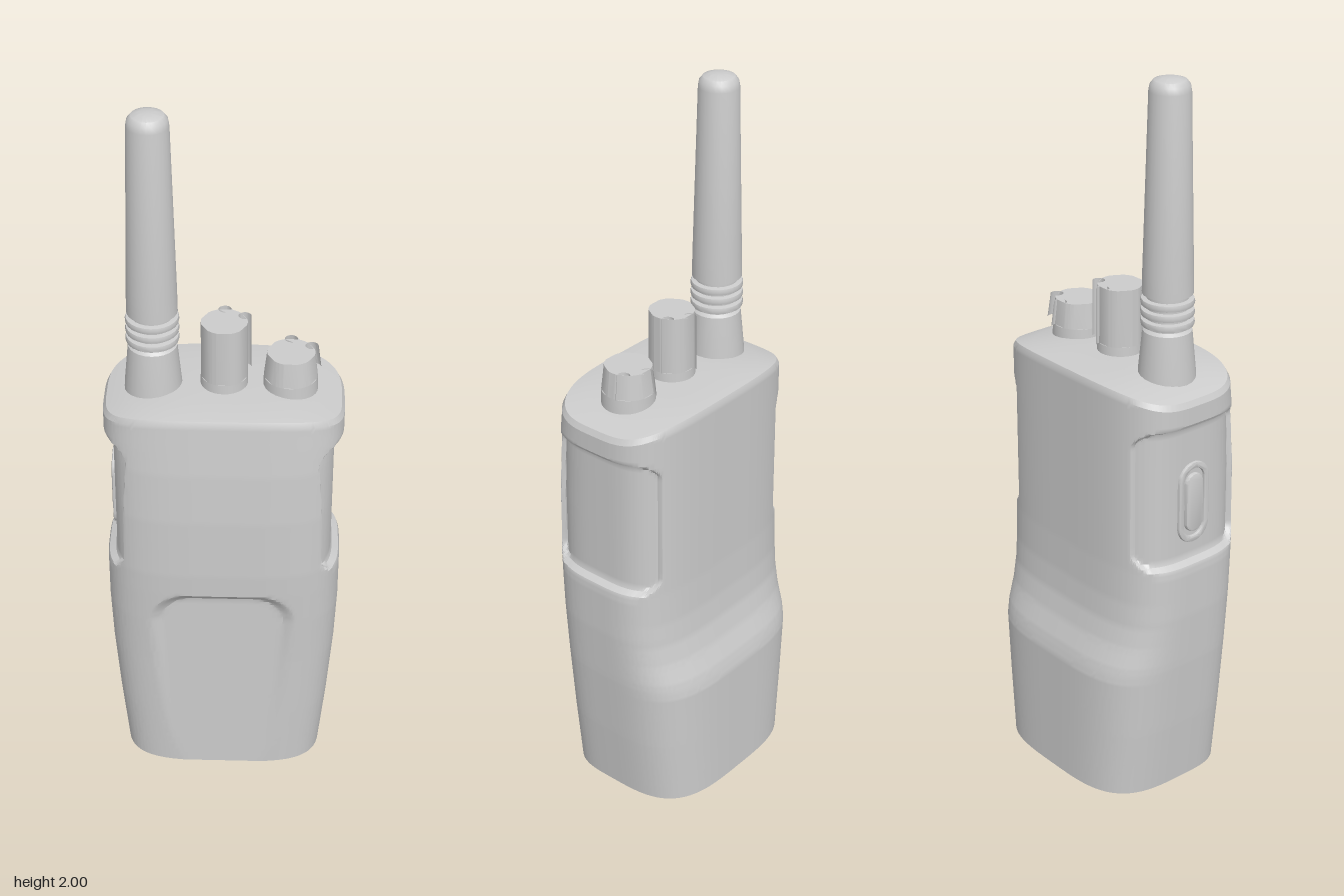
import * as THREE from 'three';
import { toCreasedNormals } from 'three/addons/utils/BufferGeometryUtils.js';

const material = new THREE.MeshStandardMaterial({ color: 0xcccccc });
const ZC = 0.02; // depth of the line through antenna and knobs
const { smoothstep, clamp } = THREE.MathUtils;

function add(parent, name, geometry, x = 0, y = 0, z = 0) {
  const mesh = new THREE.Mesh(geometry, material);
  mesh.name = name;
  mesh.position.set(x, y, z);
  parent.add(mesh);
  return mesh;
}

// Piecewise linear lookup in [y, value] pairs
function lookup(pairs, y) {
  for (let i = 1; i < pairs.length; i++) {
    const [y0, v0] = pairs[i - 1], [y1, v1] = pairs[i];
    if (y <= y1) return v0 + (v1 - v0) * clamp((y - y0) / (y1 - y0), 0, 1);
  }
  return pairs[pairs.length - 1][1];
}

// Signed distance to a rounded rectangle, negative inside
function roundedRect(u, v, halfU, halfV, r) {
  const a = Math.abs(u) - halfU + r, b = Math.abs(v) - halfV + r;
  return Math.hypot(Math.max(a, 0), Math.max(b, 0)) + Math.min(Math.max(a, b), 0) - r;
}

const halfWidth = [[0, 0.28], [0.2, 0.299], [0.4, 0.314], [0.55, 0.32], [1.22, 0.32]];
const frontZ = [[0, 0.2], [0.4, 0.214], [0.65, 0.228], [0.72, 0.231], [0.9, 0.23], [1.05, 0.222], [1.22, 0.204]];
const backZ = [[0, -0.231], [0.37, -0.231], [0.41, -0.222], [0.47, -0.198], [0.53, -0.183],
  [0.6, -0.176], [0.7, -0.173], [1.22, -0.173]];

// Point on the shell: rounded section, side recesses, front panel, domed top
function shellPoint(y, scale, angle) {
  const c = Math.cos(angle), s = Math.sin(angle), p = 2 / 3.5;
  const depth = s > 0 ? lookup(frontZ, y) - ZC : ZC - lookup(backZ, y);
  let x = Math.sign(c) * Math.abs(c) ** p * lookup(halfWidth, y) * scale;
  let z = ZC + Math.sign(s) * Math.abs(s) ** p * depth * scale;
  if (scale === 1) {
    if (Math.abs(x) > 0.15) {
      const d = roundedRect(z - ZC, y - 0.905, 0.17, 0.207, 0.05);
      x -= Math.sign(x) * 0.025 * clamp(-d / 0.014, 0, 1);
    }
    if (z > 0.1) {
      const w = 0.165 + 0.035 * Math.min(1, y / 0.55);
      const d = roundedRect(x, y, w, 0.65, 0.11);
      z -= Math.max(0, z - 0.198) * clamp(-d / 0.032, 0, 1);
    }
  }
  return [x, y - 0.035 * (x / 0.32) ** 4 * smoothstep(y, 1.1, 1.2), z];
}

function bodyGeometry() {
  const n = 192, rings = [[0, 0]];
  for (let i = 0; i <= 120; i++) rings.push([i * 0.01, 1]);
  rings.push([1.213, 0.975], [1.217, 0.8], [1.219, 0.5], [1.22, 0.25], [1.22, 0]);
  const pos = [], index = [];
  rings.forEach(([y, scale], i) => {
    for (let j = 0; j < n; j++) {
      pos.push(...shellPoint(y, scale, (j / n) * Math.PI * 2));
      if (i === 0) continue;
      const k = (j + 1) % n, a = (i - 1) * n + j, b = (i - 1) * n + k, c = i * n + j, d = i * n + k;
      if (scale > 0) index.push(b, c, d);
      if (i > 1) index.push(a, c, b);
    }
  });
  const g = new THREE.BufferGeometry();
  g.setAttribute('position', new THREE.Float32BufferAttribute(pos, 3));
  g.setIndex(index);
  return toCreasedNormals(g, 0.45);
}

function lathe(points, sides) {
  const g = new THREE.LatheGeometry(points.map(([r, y]) => new THREE.Vector2(r, y)), sides);
  return toCreasedNormals(g, 0.6);
}

// Fluted knob: six scallops cut into a disc, tapered, on a round collar
function addKnob(parent, name, x, top, rBase, rTop) {
  const knob = new THREE.Group();
  knob.name = name;
  knob.position.set(x, 0, ZC);
  parent.add(knob);
  const base = 1.245, notch = 0.28, half = 2 * Math.asin(notch / 2);
  const shape = new THREE.Shape();
  for (let i = 0; i < 6; i++) {
    const a = Math.PI / 6 + (i * Math.PI) / 3;
    const inner = Math.PI / 2 - half / 2;
    shape.absarc(Math.cos(a), Math.sin(a), notch, a - Math.PI + -inner + Math.PI * 2, a + Math.PI - (Math.PI - inner) + Math.PI - 2 * inner, true);
    shape.absarc(0, 0, 1, a + half, a + Math.PI / 3 - half, false);
  }
  const g = new THREE.ExtrudeGeometry(shape, { depth: 1, bevelEnabled: false, curveSegments: 8 });
  g.rotateX(-Math.PI / 2);
  const p = g.attributes.position;
  for (let i = 0; i < p.count; i++) {
    const t = p.getY(i), r = rBase + (rTop - rBase) * t;
    p.setXYZ(i, p.getX(i) * r, base + (top - base) * t, p.getZ(i) * r);
  }
  add(knob, 'knobGrip', toCreasedNormals(g, 0.6));
  add(knob, 'knobCollar', lathe([[rBase + 0.002, 1.19], [rBase, base], [0, base]], 32));
}

// Upright pill lying on the model's right side, facing -x
function pill(width, height, depth, hole = 0) {
  const outline = (path, w, h) => {
    const r = w / 2, s = h / 2 - r;
    path.absarc(0, s, r, 0, Math.PI, false);
    path.absarc(0, -s, r, Math.PI, Math.PI * 2, false);
    path.closePath();
    return path;
  };
  const shape = outline(new THREE.Shape(), width, height);
  if (hole) shape.holes.push(outline(new THREE.Path(), width - hole, height - hole));
  const g = new THREE.ExtrudeGeometry(shape, {
    depth, bevelThickness: 0.004, bevelSize: 0.004, bevelOffset: -0.004, bevelSegments: 2, curveSegments: 12,
  });
  g.rotateY(-Math.PI / 2);
  return toCreasedNormals(g, 0.6);
}

export function createModel() {
  const model = new THREE.Group();
  model.name = 'handheldRadio';
  add(model, 'body', bodyGeometry());

  // Antenna: flared foot, three flex rings, tapered whip with rounded tip
  const profile = [[0.078, 1.18], [0.076, 1.22], [0.065, 1.335], [0.056, 1.342]];
  for (const y of [1.358, 1.386, 1.414]) {
    profile.push([0.056, y - 0.01], [0.069, y - 0.008], [0.071, y], [0.069, y + 0.008], [0.056, y + 0.01]);
  }
  profile.push([0.056, 1.434], [0.067, 1.436], [0.066, 1.5], [0.054, 1.965], [0.051, 1.982],
    [0.042, 1.993], [0.022, 1.999], [0, 2]);
  add(model, 'antenna', lathe(profile, 24), -0.187, 0, ZC);

  addKnob(model, 'channelKnob', 0, 1.405, 0.062, 0.061);
  addKnob(model, 'volumeKnob', 0.175, 1.315, 0.071, 0.063);

  // Talk button in its raised frame
  add(model, 'buttonFrame', pill(0.105, 0.235, 0.02, 0.036), -0.279, 0.875, ZC);
  add(model, 'talkButton', pill(0.058, 0.17, 0.022), -0.28, 0.875, ZC);
  return model;
}
